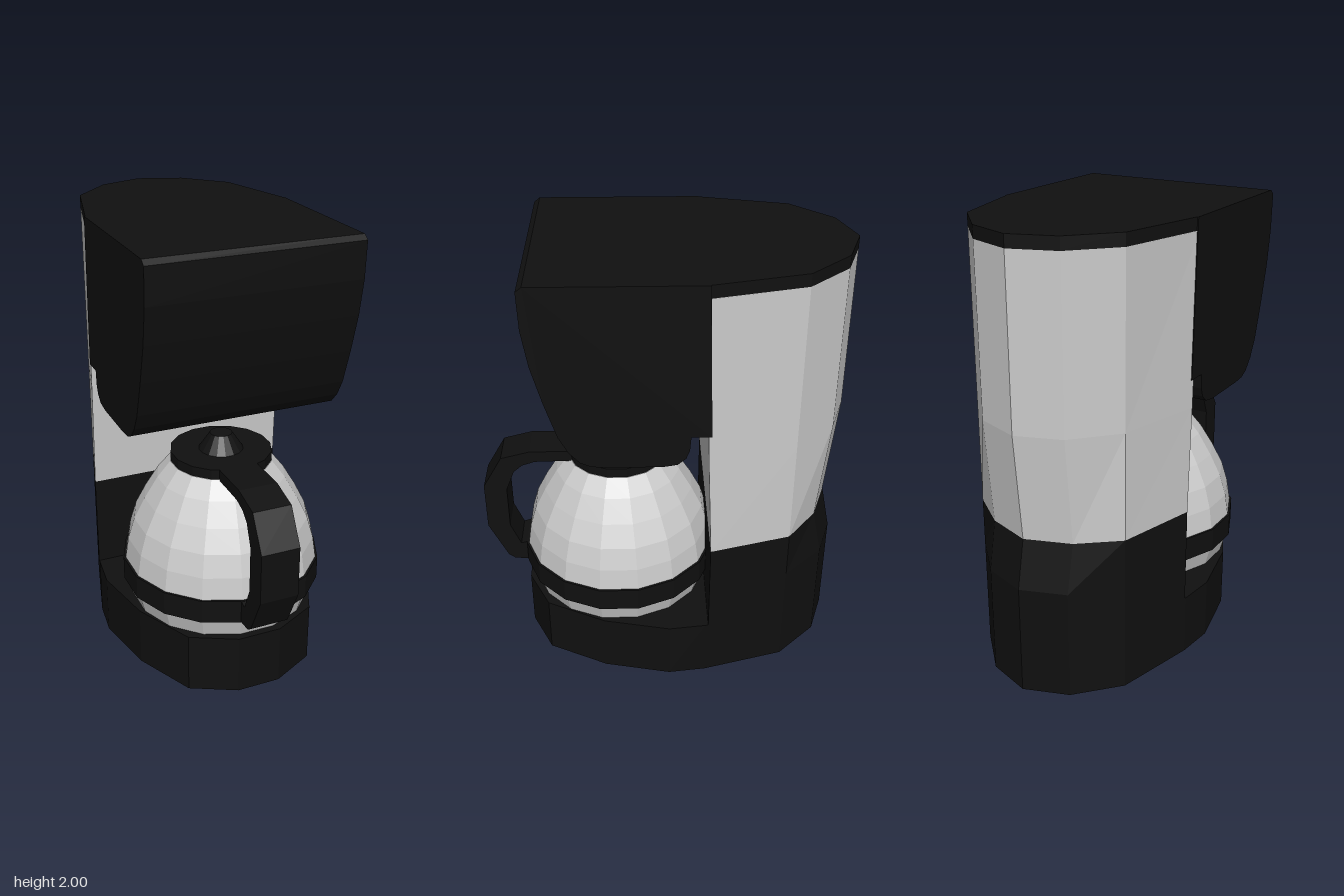
import * as THREE from 'three';

const dark = new THREE.MeshStandardMaterial({ color: 0x101010, flatShading: true });
const grey = new THREE.MeshStandardMaterial({ color: 0xcccccc, flatShading: true });

// Skins a stack of convex outlines ([x, z] corners, counter-clockwise from above) and caps both ends
function loft(levels) {
  const pos = [];
  const tri = (...pts) => pts.forEach((p) => pos.push(...p));
  const rings = levels.map(([y, outline]) => outline.map(([x, z]) => [x, y, z]));
  const n = rings[0].length;
  const bottom = rings[0], top = rings[rings.length - 1];
  for (let k = 0; k < rings.length - 1; k++) {
    const a = rings[k], b = rings[k + 1];
    for (let i = 0; i < n; i++) {
      const j = (i + 1) % n;
      tri(a[i], a[j], b[j]);
      tri(a[i], b[j], b[i]);
    }
  }
  for (let i = 1; i < n - 1; i++) {
    tri(bottom[0], bottom[i + 1], bottom[i]);
    tri(top[0], top[i], top[i + 1]);
  }
  const geo = new THREE.BufferGeometry();
  geo.setAttribute('position', new THREE.Float32BufferAttribute(pos, 3));
  geo.computeVertexNormals();
  return geo;
}

// Mirrors the +x half of an outline (front to back), closing it at the rear point
function mirrored(half, rear) {
  return [...half, [0, rear], ...half.map(([x, z]) => [-x, z]).reverse()];
}

// Rear column outline: flat front, faceted back that can be pinched in
const column = (front, pinch = 0) =>
  mirrored([[0.47, front], [0.37, -0.57], [0.2, -0.75 + pinch]], -0.82 + pinch);

// Extrudes a side profile of [z, y] points across the width from x0 to x1
function sideExtrude(profile, x0, x1) {
  const shape = new THREE.Shape(profile.map(([z, y]) => new THREE.Vector2(-z, y)));
  const geo = new THREE.ExtrudeGeometry(shape, { depth: x1 - x0, bevelEnabled: false });
  return geo.rotateY(Math.PI / 2).translate(x0, 0, 0);
}

// Turned part of the carafe from [radius, y] points
function turned(profile) {
  const pts = profile.map(([r, y]) => new THREE.Vector2(r, y));
  return new THREE.LatheGeometry(pts, 16, Math.PI / 16);
}

export function createModel() {
  const model = new THREE.Group();
  const add = (parent, name, geo, material) => {
    const mesh = new THREE.Mesh(geo, material);
    mesh.name = name;
    parent.add(mesh);
  };

  // Base plate with rounded front
  const base = mirrored([[0.1, 0.64], [0.3, 0.54], [0.43, 0.27], [0.49, -0.03],
    [0.47, -0.2], [0.37, -0.57], [0.2, -0.75]], -0.82);
  add(model, 'base', loft([[0, base], [0.28, base]]), dark);

  // Rear column: dark foot, grey water tank, dark lid
  add(model, 'columnFoot', loft([[0.27, column(-0.21)], [0.5, column(-0.21)],
    [0.72, column(-0.21, 0.045)]]), dark);
  add(model, 'waterTank', loft([[0.72, column(-0.21, 0.045)], [1.2, column(-0.19)],
    [1.945, column(-0.165)]]), grey);
  add(model, 'tankLid', loft([[1.945, column(-0.16)], [2, column(-0.16)]]), dark);

  // Overhanging brewing head
  add(model, 'brewHead', sideExtrude([[0.53, 2], [0.555, 1.98], [0.55, 1.82], [0.525, 1.66],
    [0.48, 1.49], [0.43, 1.33], [0.39, 1.255], [0.345, 1.205], [0.3, 1.185], [0.24, 1.18],
    [0, 1.18], [-0.06, 1.19], [-0.095, 1.22], [-0.11, 1.26], [-0.115, 1.325],
    [-0.2, 1.325], [-0.18, 2]], -0.47, 0.47), dark);

  // Carafe
  const carafe = new THREE.Group();
  carafe.name = 'carafe';
  carafe.position.z = 0.2;
  model.add(carafe);
  add(carafe, 'glassJug', turned([[0, 0.28], [0.415, 0.28], [0.44, 0.37], [0.445, 0.48],
    [0.43, 0.58], [0.4, 0.68], [0.35, 0.78], [0.29, 0.88], [0.23, 0.955], [0, 0.955]]), grey);
  add(carafe, 'jugBand', turned([[0.43, 0.37], [0.455, 0.37], [0.455, 0.48], [0.43, 0.48]]), dark);
  add(carafe, 'jugLid', turned([[0, 0.95], [0.228, 0.95], [0.228, 1], [0.1, 1],
    [0.05, 1.075], [0, 1.075]]), dark);

  // Handle loop, from lid to band
  const outer = [[0.36, 1], [0.6, 1], [0.735, 0.965], [0.825, 0.81], [0.825, 0.58],
    [0.74, 0.4], [0.71, 0.378], [0.6, 0.37]];
  const inner = [[0.6, 0.48], [0.64, 0.48], [0.675, 0.47], [0.72, 0.58], [0.72, 0.79],
    [0.68, 0.89], [0.64, 0.925], [0.58, 0.945], [0.36, 0.95]];
  add(model, 'handle', sideExtrude([...outer, ...inner], -0.095, 0.08), dark);

  return model;
}
